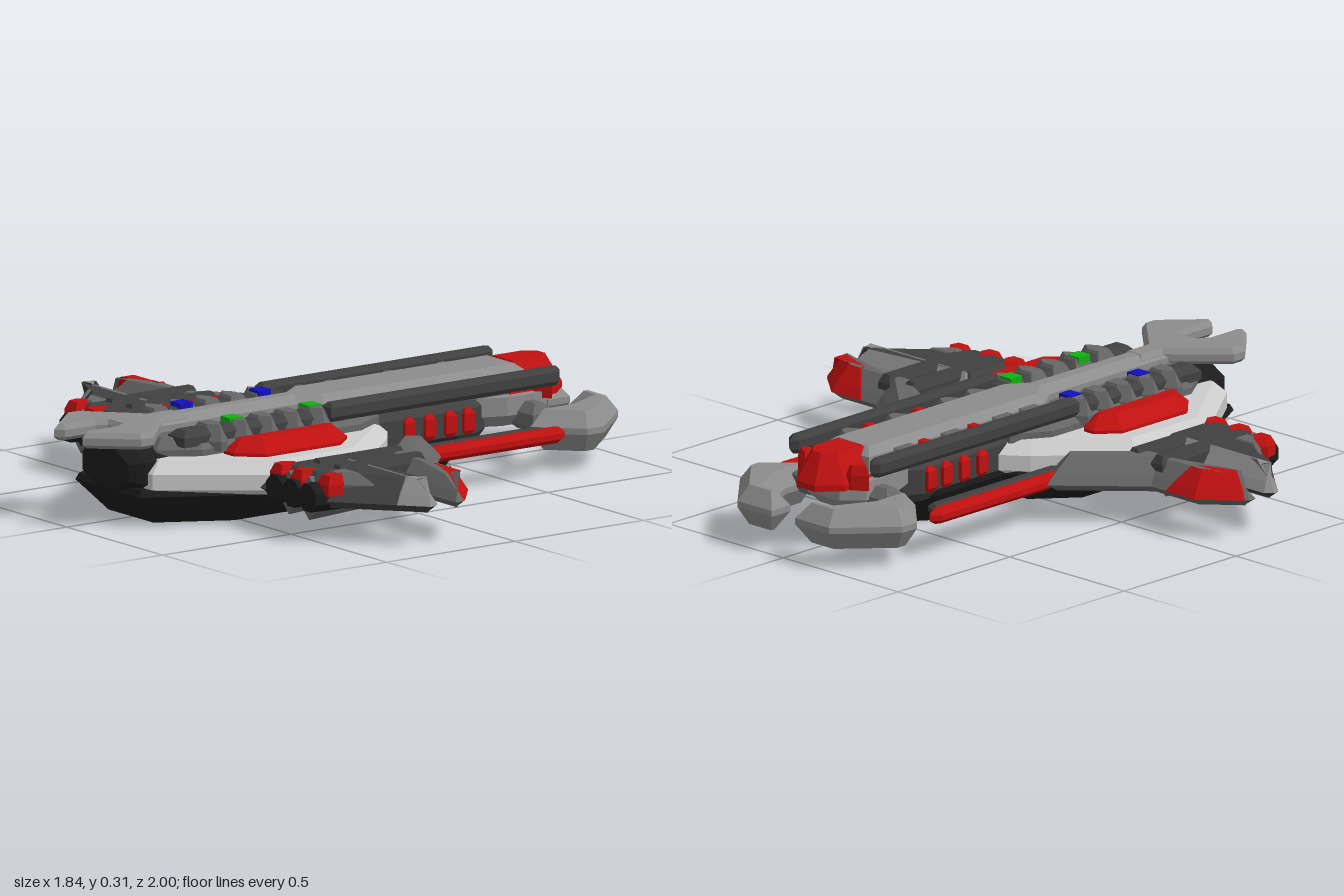
import * as THREE from 'three';

const mat = (color) => new THREE.MeshStandardMaterial({ color, flatShading: true });
const M = {
  light: mat(0xcccccc), grey: mat(0x8c8c8c), mid: mat(0x666666), dark: mat(0x404040),
  black: mat(0x1c1c1c), red: mat(0xc01010), green: mat(0x10b010), blue: mat(0x1010c0),
};

// Moves every edge of a counter-clockwise outline inwards by k
function inset(pts, k) {
  const n = pts.length;
  const normal = (a, b) => new THREE.Vector2(a.y - b.y, b.x - a.x).normalize();
  return pts.map((p, i) => {
    const n1 = normal(pts[(i + n - 1) % n], p), n2 = normal(p, pts[(i + 1) % n]);
    return n1.clone().add(n2).multiplyScalar(k / (1 + n1.dot(n2))).add(p);
  });
}

// Bevelled slab: plan outline [x, z] stacked through levels [y, inset]
function slab(outline, levels) {
  const base = outline.map(([x, z]) => new THREE.Vector2(x, z));
  if (THREE.ShapeUtils.area(base) < 0) base.reverse();
  const rings = levels.map(([y, k]) => inset(base, k).map((p) => [p.x, y, p.y]));
  const pos = [], n = base.length, top = rings.length - 1;
  for (let r = 0; r < top; r++) {
    for (let i = 0; i < n; i++) {
      const j = (i + 1) % n, a = rings[r], b = rings[r + 1];
      pos.push(...a[i], ...b[j], ...a[j], ...a[i], ...b[i], ...b[j]);
    }
  }
  for (const r of [0, top]) {
    const flat = rings[r].map(([x, , z]) => new THREE.Vector2(x, z));
    for (const [a, b, c] of THREE.ShapeUtils.triangulateShape(flat, [])) {
      const t = r === 0 ? [a, b, c] : [a, c, b];
      t.forEach((i) => pos.push(...rings[r][i]));
    }
  }
  const g = new THREE.BufferGeometry();
  g.setAttribute('position', new THREE.Float32BufferAttribute(pos, 3));
  g.computeVertexNormals();
  return g;
}

// Completes a right-hand half outline across x = 0
const full = (half) => [...half, ...half.map(([x, z]) => [-x, z]).reverse()];
const rect = (x0, x1, z0, z1) => [[x0, z0], [x1, z0], [x1, z1], [x0, z1]];

export function createModel() {
  const root = new THREE.Group();
  const add = (name, geometry, material) => {
    const m = new THREE.Mesh(geometry, material);
    m.name = name;
    root.add(m);
  };
  // Faceted tube lying along z
  const tube = (name, x, y, z0, z1, r0, r1, sides, material, squash = 1) => {
    const g = new THREE.CylinderGeometry(r1, r0, z1 - z0, sides);
    if (sides === 8) g.rotateY(Math.PI / 8);
    g.rotateX(Math.PI / 2).scale(1, squash, 1).translate(x, y, (z0 + z1) / 2);
    add(name, g, material);
  };

  // Hull
  add('lowerHull', slab(full([[0.17, -0.13], [0.33, 0.06], [0.33, 0.55], [0.17, 0.84]]),
    [[0, 0.09], [0.1, 0], [0.12, 0.01]]), M.black);
  add('keel', slab(full([[0.07, -0.5], [0.12, -0.43], [0.12, 0.05]]),
    [[0, 0.06], [0.1, 0], [0.12, 0]]), M.black);
  add('upperHull', slab(full([[0.12, -0.16], [0.2, -0.1], [0.42, 0.15], [0.42, 0.47], [0.18, 0.8]]),
    [[0.1, 0.03], [0.12, 0], [0.17, 0], [0.21, 0.04]]), M.light);
  add('deck', slab(full([[0.13, -0.12], [0.2, 0], [0.2, 0.62], [0.12, 0.74]]),
    [[0.2, 0], [0.23, 0], [0.265, 0.03]]), M.mid);
  tube('engine', 0, 0.17, 0.66, 0.81, 0.16, 0.17, 8, M.black, 0.55);
  tube('engineNozzle', 0, 0.17, 0.81, 0.85, 0.17, 0.13, 8, M.black, 0.55);

  // Neck and the head below the nose
  add('neck', slab(full([[0.09, -0.56], [0.12, -0.5], [0.12, -0.05]]),
    [[0.09, 0.02], [0.12, 0], [0.2, 0], [0.235, 0.03]]), M.dark);
  add('head', slab(full([[0.07, -0.82], [0.13, -0.76], [0.13, -0.62], [0.08, -0.5]]),
    [[0.12, 0.04], [0.16, 0], [0.22, 0]]), M.grey);

  // Spine, nose and forked tail
  add('spine', slab(full([[0.1, -0.72], [0.1, 0.07], [0.05, 0.14], [0.05, 0.68]]),
    [[0.2, 0.02], [0.23, 0], [0.285, 0], [0.31, 0.03]]), M.grey);
  add('nose', slab(full([[0.04, -0.9], [0.102, -0.83], [0.102, -0.65]]),
    [[0.2, 0], [0.22, 0], [0.312, 0.05]]), M.red);
  add('tailFork', slab(full([[0.04, 0.56], [0.04, 0.66], [0.2, 0.81], [0.2, 0.86],
    [0.075, 0.995], [0.05, 0.97], [0.05, 0.85], [0.03, 0.82]]),
  [[0.26, 0.012], [0.272, 0], [0.295, 0], [0.312, 0.012]]), M.grey);

  const wingLevels = [[0.105, 0.03], [0.13, 0], [0.16, 0.02], [0.21, 0.06]];
  const panelLevels = [[0.13, 0], [0.16, 0.018], [0.213, 0.057]];
  for (const s of [1, -1]) {
    const part = (name, pts, levels, material) =>
      add(name, slab(pts.map(([x, z]) => [s * x, z]), levels), material);

    // Claw beside the nose
    part('claw', [[0.052, -1], [0.2, -1], [0.355, -0.83], [0.355, -0.765],
      [0.225, -0.64], [0.185, -0.68], [0.185, -0.8], [0.13, -0.91], [0.052, -0.915]],
    [[0.06, 0.036], [0.12, 0], [0.14, 0], [0.19, 0.036]], M.grey);
    part('clawArm', rect(0.08, 0.21, -0.75, -0.66), [[0.11, 0.02], [0.13, 0], [0.17, 0], [0.2, 0.03]], M.mid);
    part('clawJoint', [[0.09, -0.81], [0.11, -0.81], [0.155, -0.775], [0.11, -0.74], [0.09, -0.74]],
      [[0.2, 0], [0.25, 0], [0.28, 0.008]], M.red);

    // Long rail with its studs
    part('rail', [[0.155, -0.77], [0.175, -0.79], [0.2, -0.77], [0.2, 0.12], [0.155, 0.12]],
      [[0.25, 0.01], [0.265, 0], [0.295, 0], [0.31, 0.012]], M.dark);
    [-0.57, -0.36, -0.13, -0.01].forEach((z) => part('railStud',
      [[0.08, z - 0.05], [0.12, z - 0.05], [0.17, z - 0.02], [0.17, z + 0.02], [0.12, z + 0.05], [0.08, z + 0.05]],
      [[0.24, 0.01], [0.265, 0], [0.29, 0.015]], M.mid));
    [-0.48, -0.26].forEach((z) => part('redStud', rect(0.08, 0.15, z - 0.025, z + 0.025),
      [[0.25, 0], [0.275, 0], [0.29, 0.01]], M.red));
    [-0.47, -0.4, -0.32, -0.24].forEach((z) => part('neckRib', rect(0.08, 0.135, z - 0.02, z + 0.02),
      [[0.12, 0.01], [0.135, 0], [0.19, 0], [0.205, 0.01]], M.red));

    // Toothed deck blocks and marker lights
    part('deckRail', rect(0.1, 0.185, 0.06, 0.68), [[0.24, 0], [0.27, 0], [0.29, 0.02]], M.dark);
    for (let i = 0; i < 5; i++) {
      const z = 0.15 + i * 0.1;
      part('deckTooth', [[0.09, z - 0.048], [0.17, z - 0.048], [0.22, z - 0.012],
        [0.22, z + 0.012], [0.17, z + 0.048], [0.09, z + 0.048]],
      [[0.22, 0], [0.25, 0], [0.3, 0.025]], M.mid);
    }
    for (const z of [0.15, 0.455]) {
      const lamp = s > 0 ? M.green : M.blue;
      part('topLight', rect(0.105, 0.155, z - 0.025, z + 0.025), [[0.27, 0], [0.304, 0]], lamp);
      part('bottomLight', rect(0.06, 0.1, z - 0.02, z + 0.02), [[-0.002, 0], [0.02, 0]], lamp);
    }

    // Red side pod
    part('sidePod', [[0.19, 0.15], [0.23, 0.11], [0.27, 0.11], [0.33, 0.18], [0.33, 0.47],
      [0.26, 0.545], [0.21, 0.545], [0.19, 0.52]], [[0.19, 0], [0.22, 0], [0.262, 0.045]], M.red);

    // Forward boom and front wing
    part('boom', [[0.26, -0.62], [0.315, -0.65], [0.315, -0.03], [0.26, -0.08]],
      [[0.11, 0.01], [0.125, 0], [0.14, 0], [0.153, 0.015]], M.dark);
    part('boomBlade', [[0.31, -0.66], [0.335, -0.69], [0.36, -0.66], [0.36, -0.17], [0.31, -0.02]],
      [[0.108, 0.015], [0.122, 0], [0.14, 0], [0.157, 0.015]], M.red);
    part('frontWing', [[0.26, -0.06], [0.36, -0.19], [0.6, 0.03], [0.79, 0.03], [0.92, 0.14],
      [0.92, 0.17], [0.5, 0.17], [0.44, 0.12]], wingLevels, M.mid);
    part('frontWingPanel', [[0.665, 0.16], [0.665, 0.027], [0.792, 0.027], [0.91, 0.127], [0.91, 0.16]],
      panelLevels, M.red);

    // Rear wing with engine pods
    part('rearWing', [[0.38, 0.23], [0.9, 0.23], [0.92, 0.25], [0.92, 0.27], [0.62, 0.53], [0.38, 0.53]],
      wingLevels, M.dark);
    part('rearWingEdge', [[0.4, 0.227], [0.9, 0.227], [0.922, 0.25], [0.922, 0.27], [0.84, 0.34], [0.4, 0.34]],
      panelLevels, M.grey);
    for (const x of [0.49, 0.595]) {
      tube('wingPod', s * x, 0.13, 0.1, 0.5, 0.05, 0.07, 4, M.mid);
      part('wingLink', rect(x - 0.025, x + 0.025, 0.06, 0.4),
        [[0.13, 0], [0.195, 0], [0.222, 0.012]], M.dark);
    }
    for (const x of [0.455, 0.54, 0.625]) {
      tube('podNozzle', s * x, 0.14, 0.4, 0.53, 0.05, 0.047, 8, M.black);
    }
    [[0.44, 0.47], [0.545, 0.47], [0.66, 0.45]].forEach(([x, z]) => part('wingRedBlock',
      [[x - 0.04, z], [x, z - 0.05], [x + 0.04, z], [x + 0.03, z + 0.045], [x - 0.03, z + 0.045]],
      [[0.15, 0], [0.185, 0], [0.213, 0.012]], M.red));
    part('wingSpike', [[0.6, 0.36], [0.76, 0.36], [0.66, 0.46], [0.6, 0.46]],
      [[0.15, 0], [0.18, 0], [0.215, 0.025]], M.mid);
  }
  return root;
}
